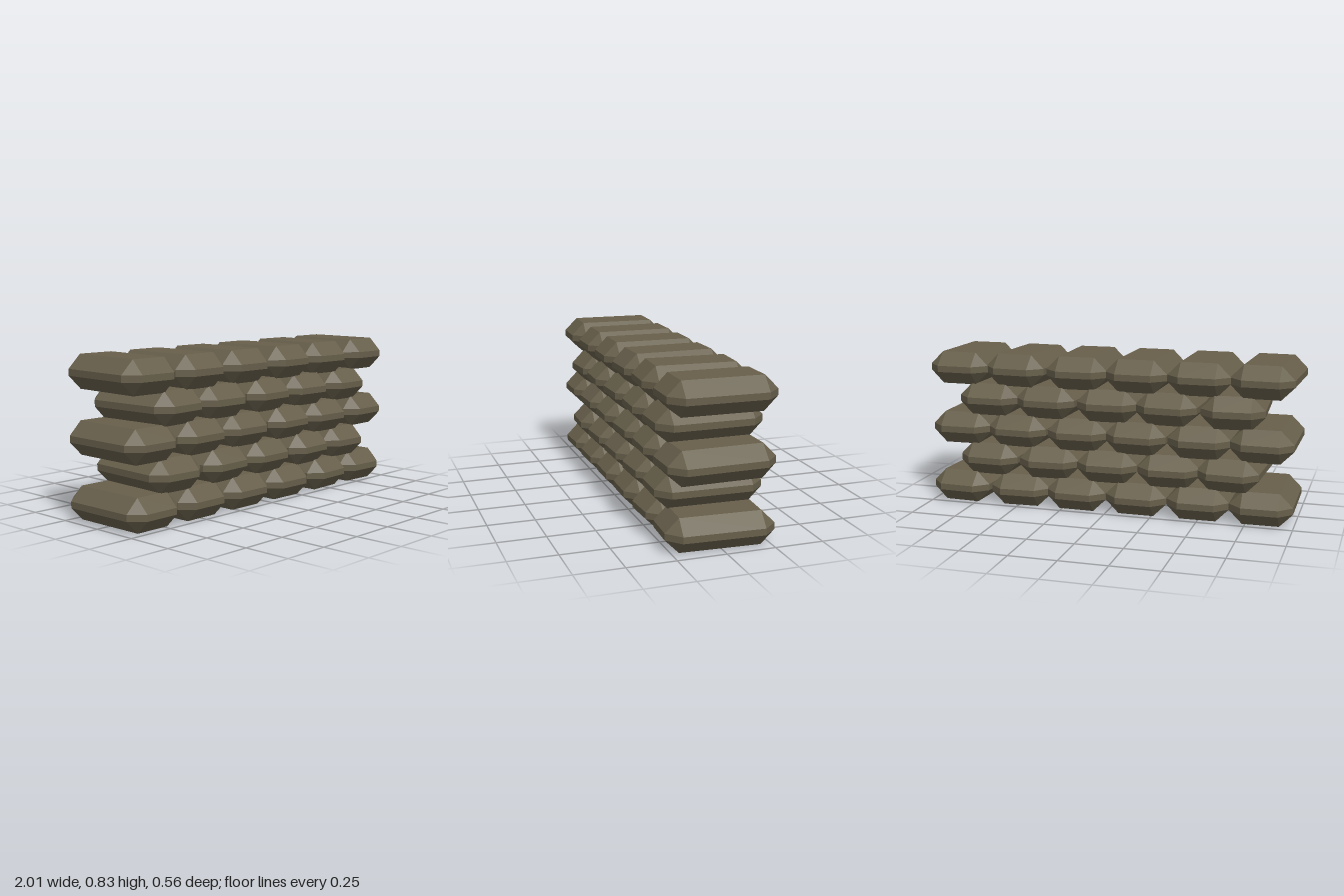
import * as THREE from 'three';
import { ConvexGeometry } from 'three/addons/geometries/ConvexGeometry.js';

// Chamfered box: every face is inset by its own bevel, edges and corners are cut flat
function bagGeometry(hx, hy, hz, bevel) {
  const points = [];
  for (const sx of [-1, 1]) for (const sy of [-1, 1]) for (const sz of [-1, 1]) {
    const ix = hx - bevel, iy = hy - bevel, iz = hz - bevel;
    points.push(
      new THREE.Vector3(sx * hx, sy * iy, sz * iz),
      new THREE.Vector3(sx * ix, sy * hy, sz * iz),
      new THREE.Vector3(sx * ix, sy * iy, sz * hz));
  }
  return new ConvexGeometry(points);
}

export function createModel() {
  const group = new THREE.Group();
  group.name = 'sandbagWall';
  const burlap = new THREE.MeshStandardMaterial({ color: 0x675f4b });
  burlap.name = 'burlap';

  const pitchX = 0.331, pitchY = 0.165, halfHeight = 0.087;
  const geometry = bagGeometry(0.166, halfHeight, 0.276, 0.07);

  // Slight turn of every bag, row by row from the ground up
  const turns = [
    [0.01, 0.01, -0.01, -0.02, 0.04, -0.05],
    [-0.05, 0.05, 0.02, 0.05, -0.03],
    [-0.01, 0.02, -0.03, 0.03, -0.03, 0.02],
    [0.06, -0.04, 0.03, -0.04, 0],
    [-0.04, -0.01, -0.02, 0.02, -0.06, -0.015],
  ];

  // Staggered courses of six and five bags
  turns.forEach((row, r) => {
    const course = new THREE.Group();
    course.name = `course${r + 1}`;
    course.position.y = halfHeight + r * pitchY;
    row.forEach((turn, i) => {
      const bag = new THREE.Mesh(geometry, burlap);
      bag.name = `sandbag${i + 1}`;
      bag.position.x = (i - (row.length - 1) / 2) * pitchX;
      bag.rotation.y = turn;
      course.add(bag);
    });
    group.add(course);
  });
  return group;
}
